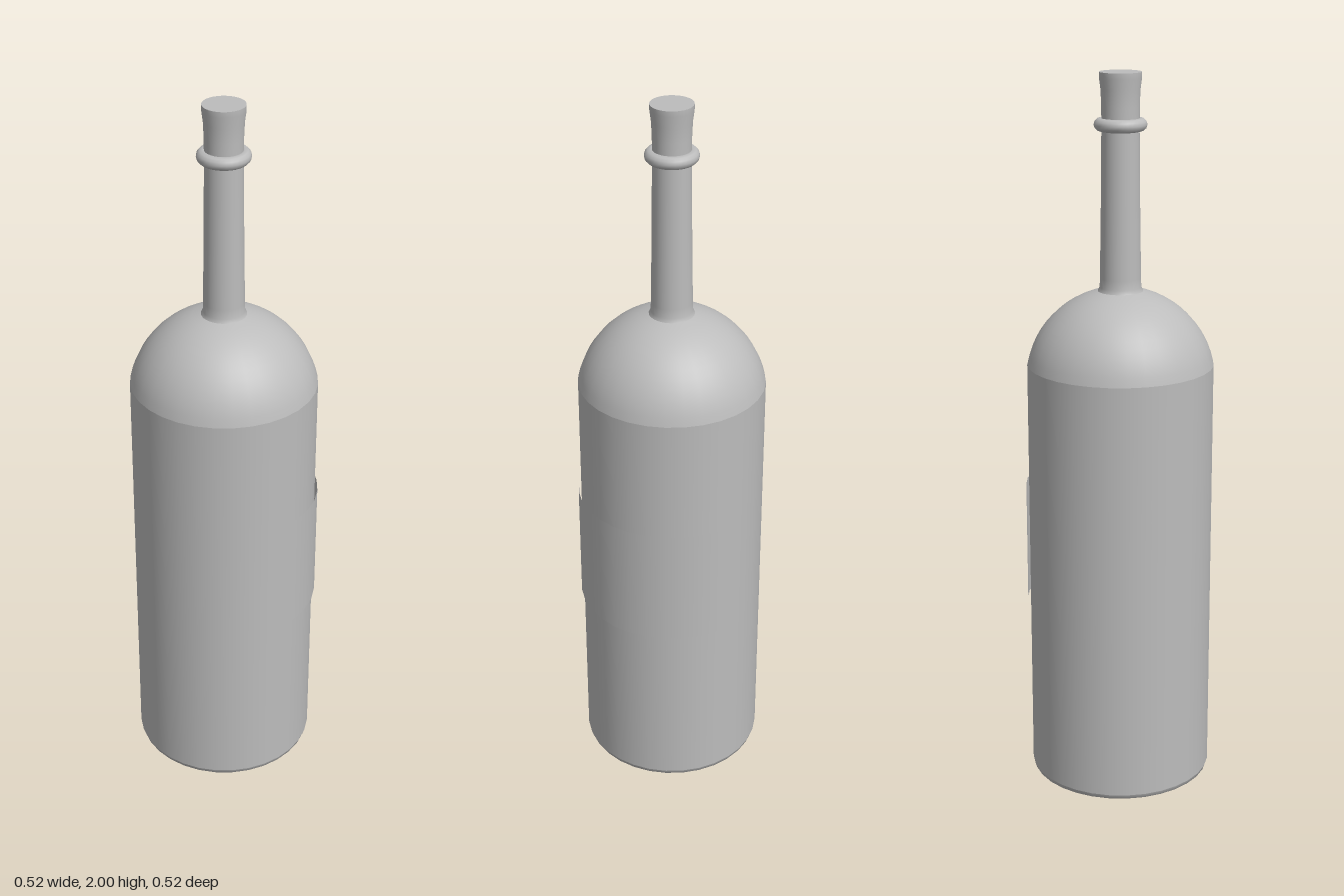
import * as THREE from 'three';

const SIDES = 32;

export function createModel() {
  const bottle = new THREE.Group();
  bottle.name = 'bottle';
  const grey = new THREE.MeshStandardMaterial({ color: 0xbcbcbc });
  grey.name = 'plain grey';
  const greySheet = new THREE.MeshStandardMaterial({ color: 0xbcbcbc, side: THREE.DoubleSide });
  greySheet.name = 'plain grey sheet';

  const add = (name, geometry, material = grey) => {
    const mesh = new THREE.Mesh(geometry, material);
    mesh.name = name;
    bottle.add(mesh);
    return mesh;
  };
  // profile points are [radius, height], from bottom to top
  const turn = (name, points) =>
    add(name, new THREE.LatheGeometry(points.map(([r, y]) => new THREE.Vector2(r, y)), SIDES));

  // flat base, rounded foot and straight wall
  add('base', new THREE.CircleGeometry(0.247, SIDES).rotateX(Math.PI / 2));
  turn('foot', [[0.247, 0], [0.253, 0.003], [0.257, 0.015]]);
  turn('body', [[0.257, 0.015], [0.257, 1.21]]);

  // domed shoulder, an arc meeting the wall at a slight angle
  const shoulder = [];
  const start = Math.asin(0.05 / 0.262), end = Math.acos(0.062 / 0.262);
  for (let i = 0; i <= 12; i++) {
    const a = start + (end - start) * i / 12;
    shoulder.push([0.262 * Math.cos(a), 1.16 + 0.262 * Math.sin(a)]);
  }
  turn('shoulder', shoulder);

  // tapering neck with a flared mouth
  turn('neck', [[0.062, 1.4145], [0.057, 1.425], [0.056, 1.45], [0.053, 1.65], [0.051, 1.85]]);
  turn('mouth', [[0.051, 1.85], [0.051, 1.91], [0.053, 1.955], [0.057, 1.985], [0.057, 2]]);
  add('mouthCap', new THREE.CircleGeometry(0.057, SIDES).rotateX(-Math.PI / 2)).position.y = 2;

  // raised ring below the mouth
  const ring = new THREE.TorusGeometry(0.054, 0.0175, 12, SIDES).rotateX(Math.PI / 2);
  add('neckRing', ring).position.y = 1.863;

  // thin label wrapped around one side
  const step = 2 * Math.PI / SIDES;
  const label = new THREE.CylinderGeometry(0.265, 0.265, 0.345, 11, 1, true, step, 11 * step);
  add('label', label, greySheet).position.y = 0.6925;

  bottle.position.set(-0.004, 0, -0.001);
  const model = new THREE.Group();
  model.name = 'model';
  model.add(bottle);
  return model;
}
